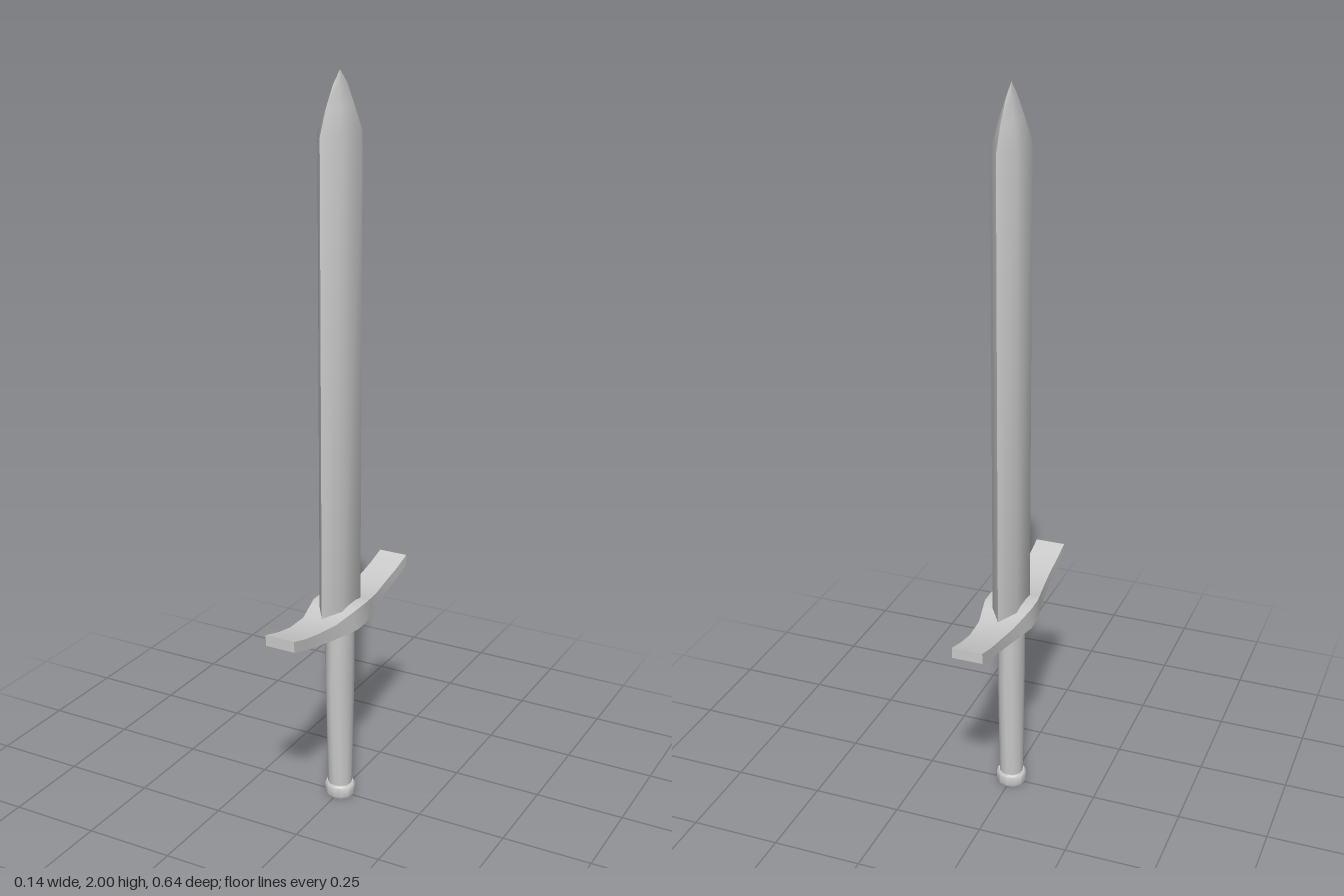
import * as THREE from 'three';
import { toCreasedNormals } from 'three/addons/utils/BufferGeometryUtils.js';

// Skins a row of equal-length rings and caps both ends; rings run
// counterclockwise about the direction of travel.
function loft(rings, crease) {
  const n = rings[0].length;
  const index = [];
  for (let r = 0; r < rings.length - 1; r++) {
    for (let i = 0; i < n; i++) {
      const a = r * n + i, b = r * n + (i + 1) % n;
      index.push(a, b, b + n, a, b + n, a + n);
    }
  }
  const last = (rings.length - 1) * n;
  for (let i = 1; i < n - 1; i++) {
    index.push(0, i + 1, i, last, last + i, last + i + 1);
  }
  const geometry = new THREE.BufferGeometry();
  geometry.setAttribute('position', new THREE.Float32BufferAttribute(rings.flat(2), 3));
  geometry.setIndex(index);
  return toCreasedNormals(geometry, crease);
}

// Elliptical ring at height y
function ellipse(y, rx, rz, sides) {
  return Array.from({ length: sides }, (_, i) => {
    const t = (i / sides) * Math.PI * 2;
    return [rx * Math.sin(t), y, rz * Math.cos(t)];
  });
}

export function createModel() {
  const group = new THREE.Group();
  const material = new THREE.MeshStandardMaterial({ color: 0xcccccc });
  const add = (name, geometry) => {
    const mesh = new THREE.Mesh(geometry, material);
    mesh.name = name;
    group.add(mesh);
  };

  // Blade: hexagonal section with sharp edges along z, narrowing to a point
  // [height, half thickness, half flat width, half edge width]
  const bladeSections = [
    [0.56, 0.035, 0.052, 0.103],
    [1.85, 0.035, 0.052, 0.103],
    [1.915, 0.02, 0.036, 0.072],
    [1.968, 0.0075, 0.018, 0.036],
    [2.0, 0.0004, 0.0005, 0.001],
  ];
  add('blade', loft(bladeSections.map(([y, t, f, w]) => [
    [0, y, w], [t, y, f], [t, y, -f], [0, y, -w], [-t, y, -f], [-t, y, f],
  ]), 0.7));

  // Crossguard: upswept bar, widest and thickest in the middle
  // [z, half width, bottom, top]
  const halfGuard = [
    [0.025, 0.068, 0.533, 0.594],
    [0.06, 0.061, 0.534, 0.588],
    [0.115, 0.05, 0.538, 0.579],
    [0.2, 0.042, 0.552, 0.587],
    [0.26, 0.042, 0.567, 0.599],
    [0.322, 0.042, 0.587, 0.617],
  ];
  const guardSections = [
    ...halfGuard.map(([z, ...rest]) => [-z, ...rest]).reverse(),
    ...halfGuard,
  ];
  add('crossguard', loft(guardSections.map(([z, w, lo, hi]) => [
    [-w, lo, z], [w, lo, z], [w, hi, z], [-w, hi, z],
  ]), 0.6));

  // Grip: oval near the guard, tapering to round at the pommel
  const gripSections = [[0.03, 0.034, 0.033], [0.36, 0.035, 0.054], [0.55, 0.035, 0.055]];
  add('grip', loft(gripSections.map(([y, rx, rz]) => ellipse(y, rx, rz, 12)), 0.8));

  // Pommel: short cap with a slightly bevelled rim
  const pommelSections = [
    [0, 0.041, 0.038], [0.005, 0.043, 0.04], [0.031, 0.043, 0.04], [0.037, 0.039, 0.036],
  ];
  add('pommel', loft(pommelSections.map(([y, rx, rz]) => ellipse(y, rx, rz, 12)), 0.6));

  return group;
}
